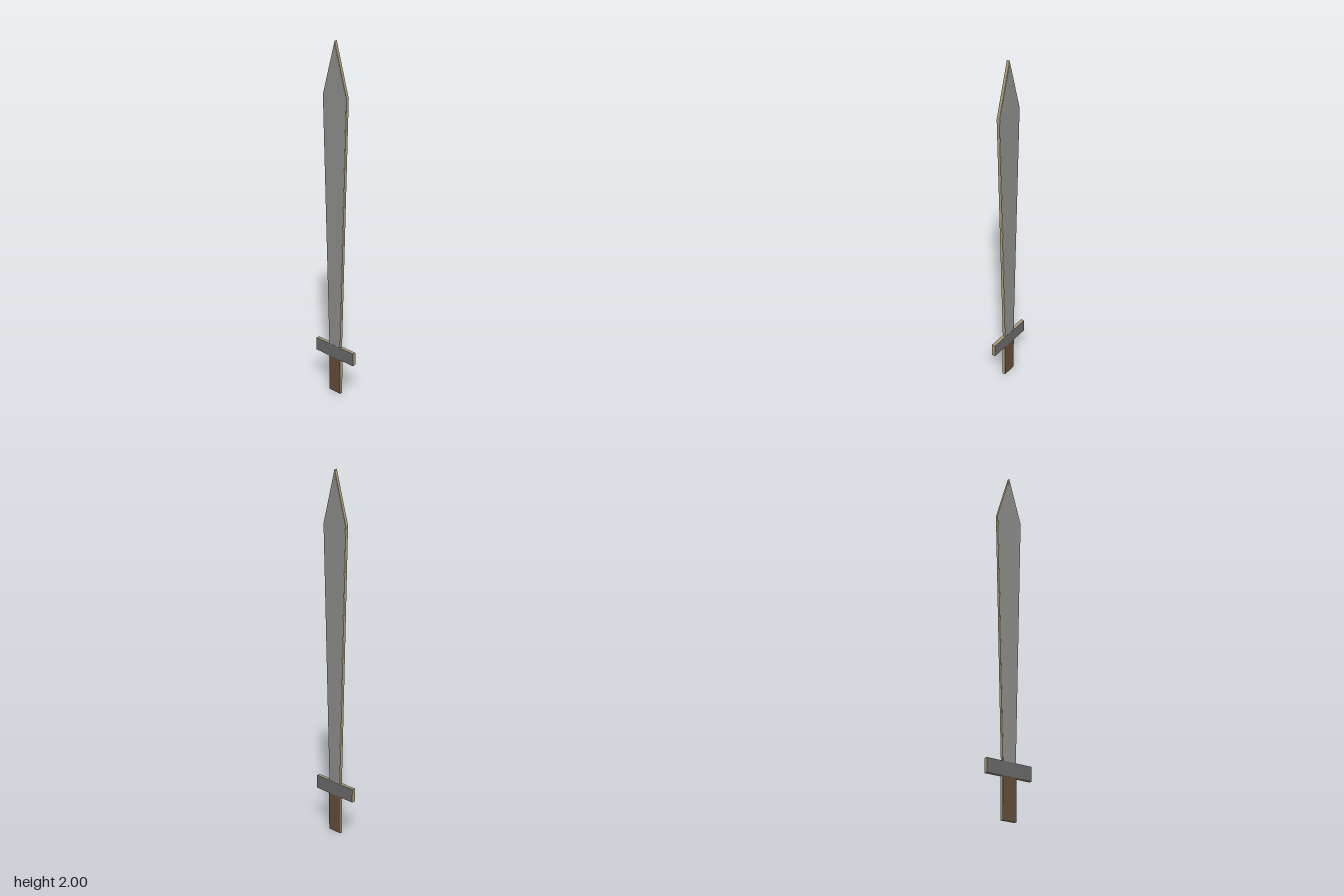
import * as THREE from 'three';

const mat = (name, color) => new THREE.MeshStandardMaterial({ name, color });

export function createModel() {
  const edge = mat('tan edge', 0xa59a76);
  const steel = mat('blade grey', 0x8a8a88);
  const iron = mat('guard grey', 0x666666);
  const grip = mat('grip brown', 0x604a38);
  const sword = new THREE.Group();
  sword.name = 'sword';

  // Flat slab cut from an outline of [z, y] points, centred on x = 0
  function slab(name, points, depth, faceMat, sideMat) {
    const shape = new THREE.Shape(points.map(([z, y]) => new THREE.Vector2(-z, y)));
    const geo = new THREE.ExtrudeGeometry(shape, { depth, bevelEnabled: false });
    geo.translate(0, 0, -depth / 2);
    geo.rotateY(Math.PI / 2);
    const mesh = new THREE.Mesh(geo, [faceMat, sideMat]);
    mesh.name = name;
    sword.add(mesh);
  }
  const rect = (z0, z1, y0, y1) => [[z0, y0], [z1, y0], [z1, y1], [z0, y1]];
  const bladeOutline = (inset, tip) => [
    [0.041 - inset, 0.29], [0.082 - inset, 1.72], [0, tip],
    [-0.082 + inset, 1.72], [-0.041 + inset, 0.29],
  ];

  // Blade: tan core with slightly smaller painted faces
  slab('bladeCore', bladeOutline(0, 2), 0.016, edge, edge);
  slab('bladeFaces', bladeOutline(0.003, 1.98), 0.0176, steel, edge);

  // Cross guard
  slab('guard', rect(-0.14, 0.14, 0.22, 0.297), 0.02, iron, edge);

  // Grip: tan core with painted faces
  slab('gripCore', rect(-0.043, 0.043, 0, 0.23), 0.016, edge, edge);
  slab('gripFaces', rect(-0.038, 0.043, 0.001, 0.23), 0.0176, grip, edge);

  return sword;
}
